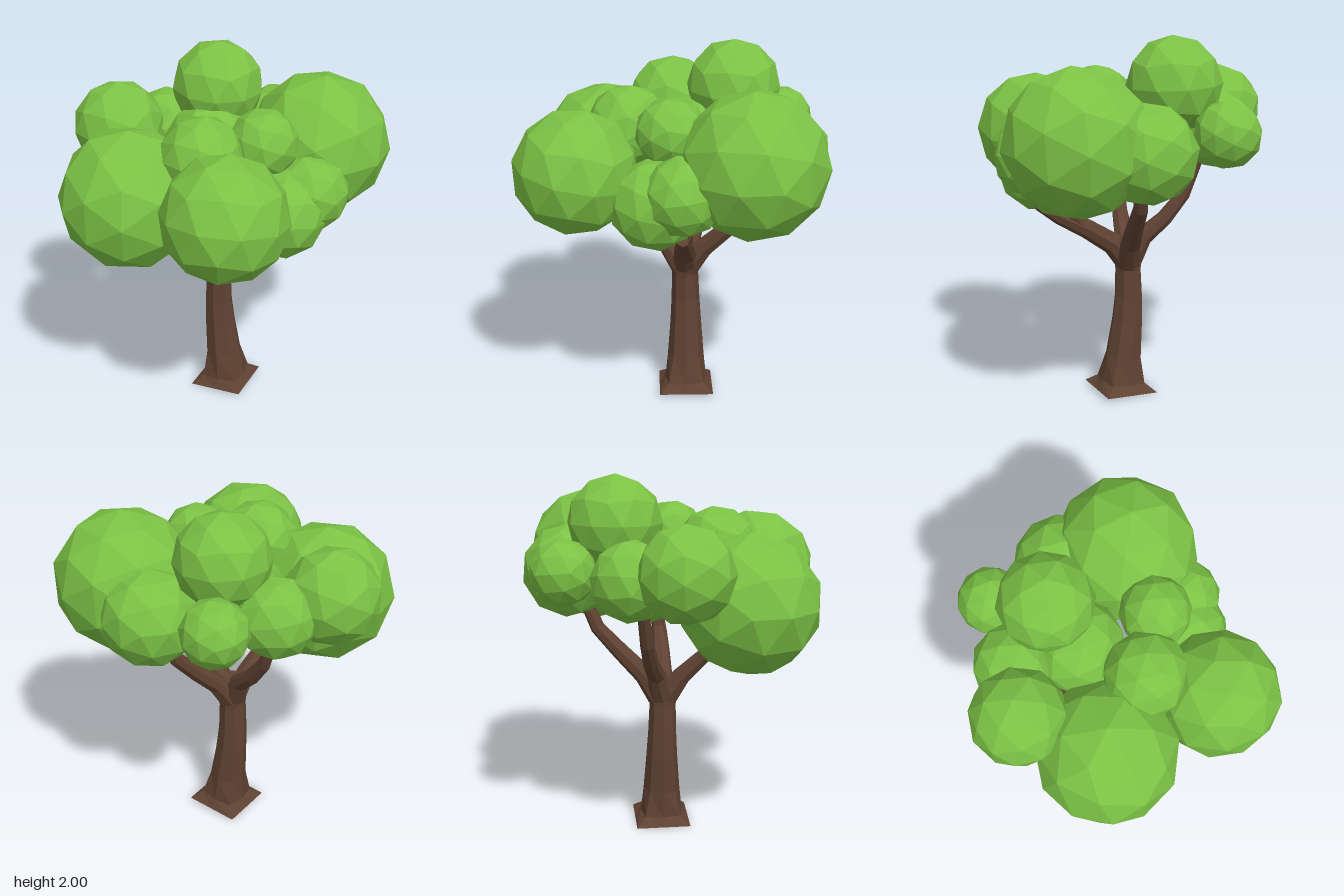
import * as THREE from 'three';

const SIDES = 8;

// Flat-shaded tube through points [x, y, z, radius]; an optional square foot replaces the first ring.
function loft(points, foot) {
  const centres = points.map(p => new THREE.Vector3(p[0], p[1], p[2]));
  const up = new THREE.Vector3(0, 1, 0);
  const rings = points.map((p, i) => {
    const a = centres[Math.max(i - 1, 0)], b = centres[Math.min(i + 1, centres.length - 1)];
    const turn = new THREE.Quaternion().setFromUnitVectors(up, b.clone().sub(a).normalize());
    const ring = [];
    for (let k = 0; k < SIDES; k++) {
      const t = (k / SIDES) * Math.PI * 2;
      const v = new THREE.Vector3(Math.cos(t), 0, Math.sin(t));
      if (foot && i < 2) {
        // square outline, slightly tilted as it meets the ground
        const m = Math.max(Math.abs(v.x), Math.abs(v.z));
        const grow = i === 0 ? 1 / m : 1 + (1 / m - 1) * 0.45;
        v.multiplyScalar(p[3] * grow);
        v.y = (v.x / p[3]) * 0.01 + 0.01;
      } else v.multiplyScalar(p[3]).applyQuaternion(turn);
      ring.push(v.add(centres[i]));
    }
    return ring;
  });
  const pos = [];
  const tri = (a, b, c) => pos.push(...a.toArray(), ...b.toArray(), ...c.toArray());
  for (let i = 0; i + 1 < rings.length; i++) {
    for (let k = 0; k < SIDES; k++) {
      const n = (k + 1) % SIDES, lo = rings[i], hi = rings[i + 1];
      tri(lo[k], hi[k], hi[n]);
      tri(lo[k], hi[n], lo[n]);
    }
  }
  // end caps
  const first = rings[0], last = rings[rings.length - 1];
  for (let k = 1; k + 1 < SIDES; k++) {
    tri(first[0], first[k], first[k + 1]);
    tri(last[0], last[k + 1], last[k]);
  }
  const geo = new THREE.BufferGeometry();
  geo.setAttribute('position', new THREE.Float32BufferAttribute(pos, 3));
  geo.computeVertexNormals();
  return geo;
}

export function createModel() {
  const tree = new THREE.Group();
  tree.name = 'tree';
  const bark = new THREE.MeshStandardMaterial({ name: 'bark brown', color: 0x5f4232 });
  const leaf = new THREE.MeshStandardMaterial({ name: 'leaf green', color: 0x7cc245 });

  const add = (name, geo, mat, parent) => {
    const mesh = new THREE.Mesh(geo, mat);
    mesh.name = name;
    parent.add(mesh);
    return mesh;
  };

  // Trunk with a flared square foot
  add('trunk', loft([
    [0.05, 0, -0.075, 0.152], [0.05, 0.045, -0.075, 0.118], [0.035, 0.2, -0.075, 0.103],
    [0.012, 0.4, -0.075, 0.088], [0.002, 0.55, -0.073, 0.079], [0.004, 0.7, -0.07, 0.074],
    [0.006, 0.8, -0.07, 0.08], [0.008, 0.88, -0.07, 0.06],
  ], true), bark, tree);

  // Branches spreading from the fork
  const branches = new THREE.Group();
  branches.name = 'branches';
  tree.add(branches);
  const paths = {
    leftBranch: [[0.0, 0.74, -0.07, 0.07], [0.1, 0.86, -0.065, 0.06], [0.25, 0.96, -0.055, 0.052], [0.4, 1.04, -0.045, 0.042], [0.52, 1.12, -0.04, 0.03]],
    leftTwig: [[0.27, 0.97, -0.055, 0.045], [0.35, 1.07, -0.06, 0.038], [0.38, 1.28, -0.07, 0.03]],
    backBranch: [[0.01, 0.74, -0.08, 0.07], [0.04, 0.87, -0.17, 0.055], [0.08, 1.0, -0.3, 0.047], [0.11, 1.13, -0.42, 0.04], [0.14, 1.32, -0.5, 0.034]],
    rightBranch: [[0.0, 0.74, -0.07, 0.07], [-0.07, 0.89, -0.11, 0.052], [-0.18, 0.99, -0.15, 0.044], [-0.28, 1.12, -0.18, 0.037], [-0.36, 1.34, -0.21, 0.03]],
    frontBranch: [[0.005, 0.74, -0.06, 0.07], [-0.02, 0.87, 0.03, 0.054], [-0.05, 0.98, 0.14, 0.045], [-0.09, 1.08, 0.23, 0.035], [-0.14, 1.2, 0.28, 0.028]],
  };
  for (const [name, path] of Object.entries(paths)) add(name, loft(path), bark, branches);

  // Foliage clumps: x, y, z, radius
  const foliage = new THREE.Group();
  foliage.name = 'foliage';
  tree.add(foliage);
  const clumps = [
    [-0.31, 1.335, 0.36, 0.375], [0.305, 1.42, 0.505, 0.325], [0.45, 1.5, -0.4, 0.38],
    [-0.13, 1.75, -0.33, 0.25], [-0.575, 1.55, -0.01, 0.25], [0.295, 1.62, 0.015, 0.185],
    [0.05, 1.58, 0.235, 0.222], [-0.285, 1.52, -0.61, 0.175], [0.15, 1.45, -0.57, 0.255],
    [-0.41, 1.49, -0.27, 0.21], [0.54, 1.37, -0.04, 0.205], [0.44, 1.29, 0.1, 0.235],
    [-0.09, 1.46, -0.15, 0.25],
  ];
  clumps.forEach(([x, y, z, r], i) => {
    const geo = new THREE.IcosahedronGeometry(r * 1.015, 1);
    geo.computeVertexNormals();
    const clump = add('leafClump' + (i + 1), geo, leaf, foliage);
    clump.position.set(x, y, z);
    clump.rotation.set(i * 1.7, i * 2.3 + 0.4, i * 0.9);
  });
  return tree;
}
